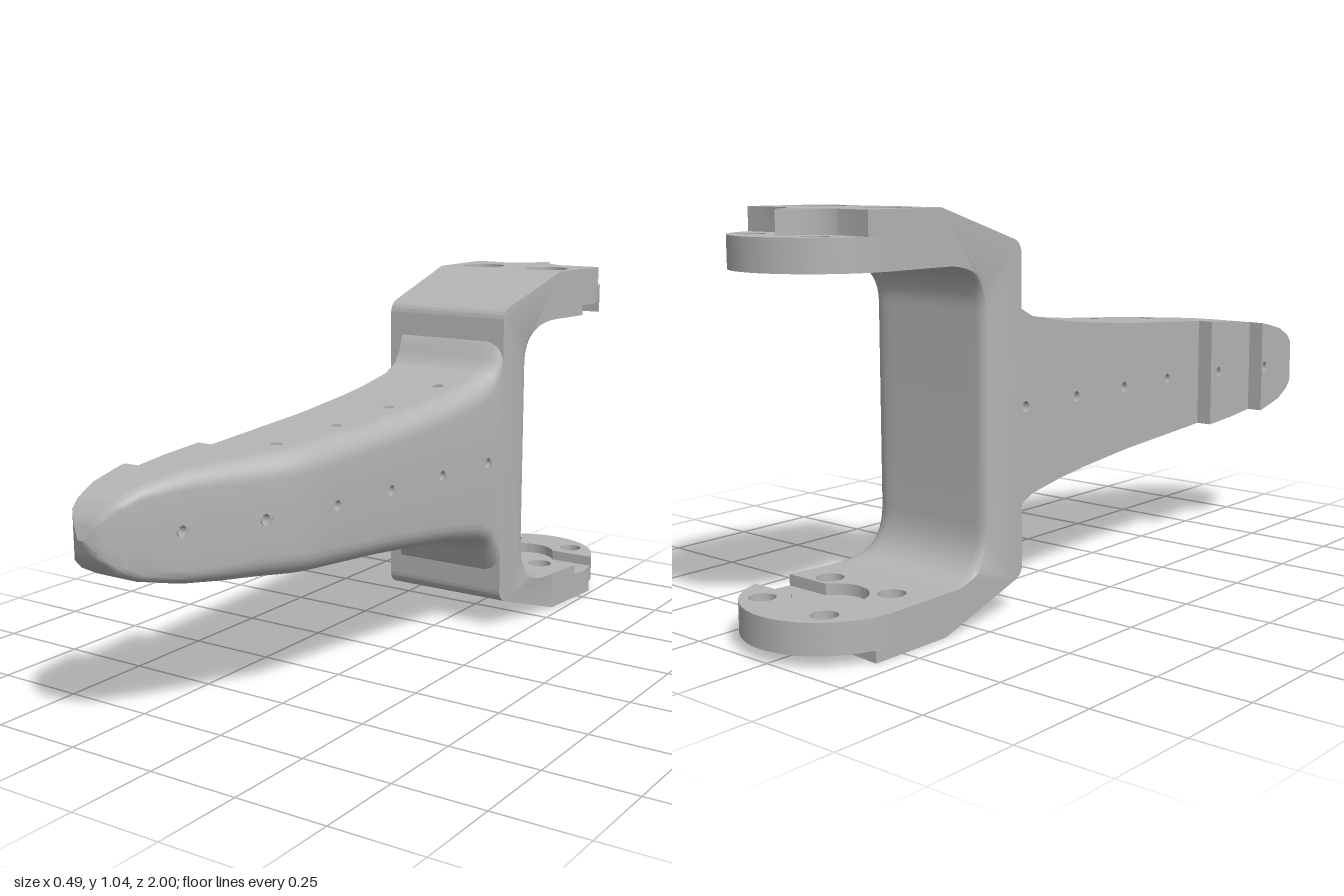
import * as THREE from 'three';
import { mergeGeometries, toCreasedNormals } from 'three/addons/utils/BufferGeometryUtils.js';

const MID = 0.5225; // height of the symmetry plane
const HOLE_R = 0.015, HOLE_ROW = 0.019;
const sideHoles = [0.81, 0.615, 0.405, 0.19, -0.03, -0.245];
const topHoles = [0.495, 0.275, 0.06, -0.16];

// Piecewise-linear lookup in [z, value] pairs
function lookup(table, z) {
  for (let i = 1; i < table.length; i++) {
    const [z0, v0] = table[i - 1], [z1, v1] = table[i];
    if (z <= z1) return v0 + (v1 - v0) * Math.max(0, (z - z0) / (z1 - z0));
  }
  return table[table.length - 1][1];
}

// Finger: stepped flat side, tapering outer side, half height
const flatSide = [[0.57, -0.155], [0.571, -0.2], [0.79, -0.2], [0.791, -0.245], [0.97, -0.243], [0.99, -0.22], [1, -0.2]];
const outerSide = [[-0.33, 0.19], [0.49, 0.105], [0.53, 0.092], [0.94, -0.11], [0.985, -0.15], [1, -0.18]];
const halfHeight = [[-0.33, 0.36], [-0.31, 0.34], [-0.295, 0.295], [-0.27, 0.26], [-0.22, 0.235], [-0.1, 0.213],
  [0, 0.2], [0.2, 0.18], [0.5, 0.161], [0.7, 0.147], [0.8, 0.136], [0.9, 0.112], [0.95, 0.085], [0.985, 0.045], [1, 0.001]];

const CORNER = 6;
function section(z) {
  const L = lookup(flatSide, z), R = lookup(outerSide, z), h = lookup(halfHeight, z);
  const k = Math.min(1, (R + 0.2) / 0.25), r = Math.min(0.06 * k, 0.8 * h), m = Math.min(0.03, 0.19 * h);
  const p = [[L, -h], [R - 0.14 * k, -h], [R - 0.08 * k, -h]];
  for (let i = 0; i <= CORNER; i++) {
    const a = (i / CORNER) * Math.PI / 2;
    p.push([R - r + r * Math.sin(a), -h + r - r * Math.cos(a)]);
  }
  p.push([R, -m]);
  const upper = p.slice().reverse().map(([x, y]) => [x, -y]);
  return [...p, ...upper, [L, m], [L, -m]];
}

function fingerGeometry() {
  const rows = new Set([...flatSide, ...outerSide, ...halfHeight].map(e => e[0]));
  const holeRows = [...sideHoles, ...topHoles];
  for (const z of holeRows) { rows.add(z - HOLE_ROW); rows.add(z + HOLE_ROW); }
  const zs = [...rows].filter(z => !holeRows.some(c => Math.abs(z - c) < HOLE_ROW - 1e-6)).sort((a, b) => a - b);
  const n = section(0).length, half = (n - 2) / 2;
  const sideColumns = [half - 1, n - 2], topColumns = [1, n - 5];
  const cells = [];
  for (let j = 0; j + 1 < zs.length; j++) {
    const z0 = zs[j], z1 = zs[j + 1], s0 = section(z0), s1 = section(z1);
    const has = list => list.some(c => Math.abs(c - (z0 + z1) / 2) < 1e-4);
    const columns = has(sideHoles) ? sideColumns : has(topHoles) ? topColumns : [];
    for (let i = 0; i < n; i++) {
      const A = s0[i], B = s0[(i + 1) % n], D = s1[i], C = s1[(i + 1) % n];
      const shape = new THREE.Shape([[0, 0], [1, 0], [1, 1], [0, 1]].map(q => new THREE.Vector2(...q)));
      if (columns.includes(i)) {
        const w = Math.hypot(B[0] - A[0], B[1] - A[1]);
        shape.holes.push(new THREE.Path().absellipse(0.5, 0.5, HOLE_R / w, HOLE_R / (z1 - z0), 0, Math.PI * 2, true));
      }
      const g = new THREE.ShapeGeometry(shape, 6), pos = g.attributes.position;
      for (let v = 0; v < pos.count; v++) {
        const a = pos.getX(v), b = pos.getY(v);
        const mix = c => (A[c] * (1 - a) + B[c] * a) * (1 - b) + (D[c] * (1 - a) + C[c] * a) * b;
        pos.setXYZ(v, mix(0), mix(1) + MID, z0 + (z1 - z0) * b);
      }
      cells.push(g);
    }
  }
  return toCreasedNormals(mergeGeometries(cells), 0.5);
}

// Shapes below use u = -z, so the back of the model is at large u
const CX = 0.02, CU = 0.78, END_R = 0.22, PIT_R = 0.095, GROOVE = 0.055;
const pitAngle = Math.asin(GROOVE / PIT_R), endAngle = Math.asin(GROOVE / END_R);

function withHoles(shape, u, r) {
  for (const x of [-0.09, 0.13]) shape.holes.push(new THREE.Path().absarc(x, u, r, 0, Math.PI * 2, true));
  return shape;
}
const armStart = () => new THREE.Shape().moveTo(-0.195, 0.6).lineTo(0.217, 0.6);

function plateShape() {
  const s = armStart();
  s.absarc(CX, CU, END_R, 0, Math.PI, false);
  return withHoles(withHoles(s, 0.68, 0.036), 0.9, 0.034);
}
// Inner layer with a round pit that opens to one side
function landShape() {
  const s = armStart().lineTo(0.233, CU - GROOVE);
  s.absarc(CX, CU, PIT_R, -pitAngle, pitAngle - Math.PI * 2, true);
  s.absarc(CX, CU, END_R, endAngle, Math.PI, false);
  return withHoles(withHoles(s, 0.68, 0.036), 0.9, 0.034);
}
function raisedShape() {
  const s = armStart().lineTo(0.238, 0.82).lineTo(0.11, 0.82);
  s.quadraticCurveTo(0.05, 0.84, 0.01, 0.93);
  s.quadraticCurveTo(-0.03, 0.84, -0.09, 0.83);
  s.lineTo(-0.197, 0.84);
  return withHoles(s, 0.68, 0.064);
}
function slab(shape, ya, yb) {
  const y0 = Math.min(ya, yb), y1 = Math.max(ya, yb);
  const g = new THREE.ExtrudeGeometry(shape, { depth: y1 - y0, bevelEnabled: false, curveSegments: 28 });
  return toCreasedNormals(g.rotateX(-Math.PI / 2).translate(0, y0, 0), 0.5);
}

// C-shaped bracket, widened towards the back, with its inner wall rounded at both ends
function bracketGeometry() {
  const s = new THREE.Shape().moveTo(0.31, 0.125).quadraticCurveTo(0.31, 0.095, 0.34, 0.085);
  s.lineTo(0.6, 0).lineTo(0.6, 0.11).lineTo(0.57, 0.11);
  s.quadraticCurveTo(0.45, 0.12, 0.45, 0.25);
  s.lineTo(0.45, 0.79);
  s.quadraticCurveTo(0.45, 0.895, 0.57, 0.905);
  s.lineTo(0.6, 0.905).lineTo(0.6, 1.045).lineTo(0.34, 0.962);
  s.quadraticCurveTo(0.31, 0.953, 0.31, 0.92);
  const options = { depth: 1, steps: 18, bevelEnabled: false, curveSegments: 10 };
  const g = new THREE.ExtrudeGeometry(s, options).rotateY(Math.PI / 2);
  const pos = g.attributes.position;
  const rounding = (r, d) => (d < r ? r - Math.sqrt(r * r - (r - d) ** 2) : 0);
  for (let i = 0; i < pos.count; i++) {
    const t = pos.getX(i), y = pos.getY(i), z = pos.getZ(i);
    const width = 0.385 + 0.1 * (-0.33 - z);
    const x = t * t * (3 - 2 * t) * width; // rows crowd towards both ends
    pos.setX(i, x - 0.195);
    if (z < -0.44 && y > 0.105 && y < 0.91) {
      const fade = (0.6 + z) / 0.15;
      pos.setZ(i, z + fade * (rounding(0.05, Math.max(0, width - x)) + rounding(0.02, x)));
    }
  }
  return toCreasedNormals(g, 0.6);
}

export function createModel() {
  const model = new THREE.Group();
  const grey = new THREE.MeshStandardMaterial({ color: 0xb4b4b4, side: THREE.DoubleSide });
  grey.name = 'grey';
  const add = (name, geometry, parent = model) => {
    const mesh = new THREE.Mesh(geometry, grey);
    mesh.name = name;
    parent.add(mesh);
  };

  add('finger', fingerGeometry());
  add('bracket', bracketGeometry());

  // Walls of the small holes through the finger
  const bore = length => new THREE.CylinderGeometry(HOLE_R, HOLE_R, length, 16, 1, true);
  for (const z of sideHoles) {
    const L = lookup(flatSide, z), R = lookup(outerSide, z);
    add('sideHole', bore(R - L - 0.006).rotateZ(Math.PI / 2).translate((L + R) / 2, MID, z));
  }
  for (const z of topHoles) {
    add('topHole', bore(2 * lookup(halfHeight, z) - 0.006).translate(lookup(outerSide, z) - 0.11, MID, z));
  }

  // Mounting arms: inner land around a pit, round plate, raised outer pad
  for (const [name, inner, dir, outer] of [['upperArm', 0.905, 1, 1.045], ['lowerArm', 0.11, -1, 0]]) {
    const arm = new THREE.Group();
    arm.name = name;
    model.add(arm);
    const level = d => inner + dir * d;
    add('innerLand', slab(landShape(), level(0), level(0.03)), arm);
    add('roundPlate', slab(plateShape(), level(0.03), level(0.08)), arm);
    add('raisedPad', slab(raisedShape(), level(0.08), outer), arm);
  }
  return model;
}
